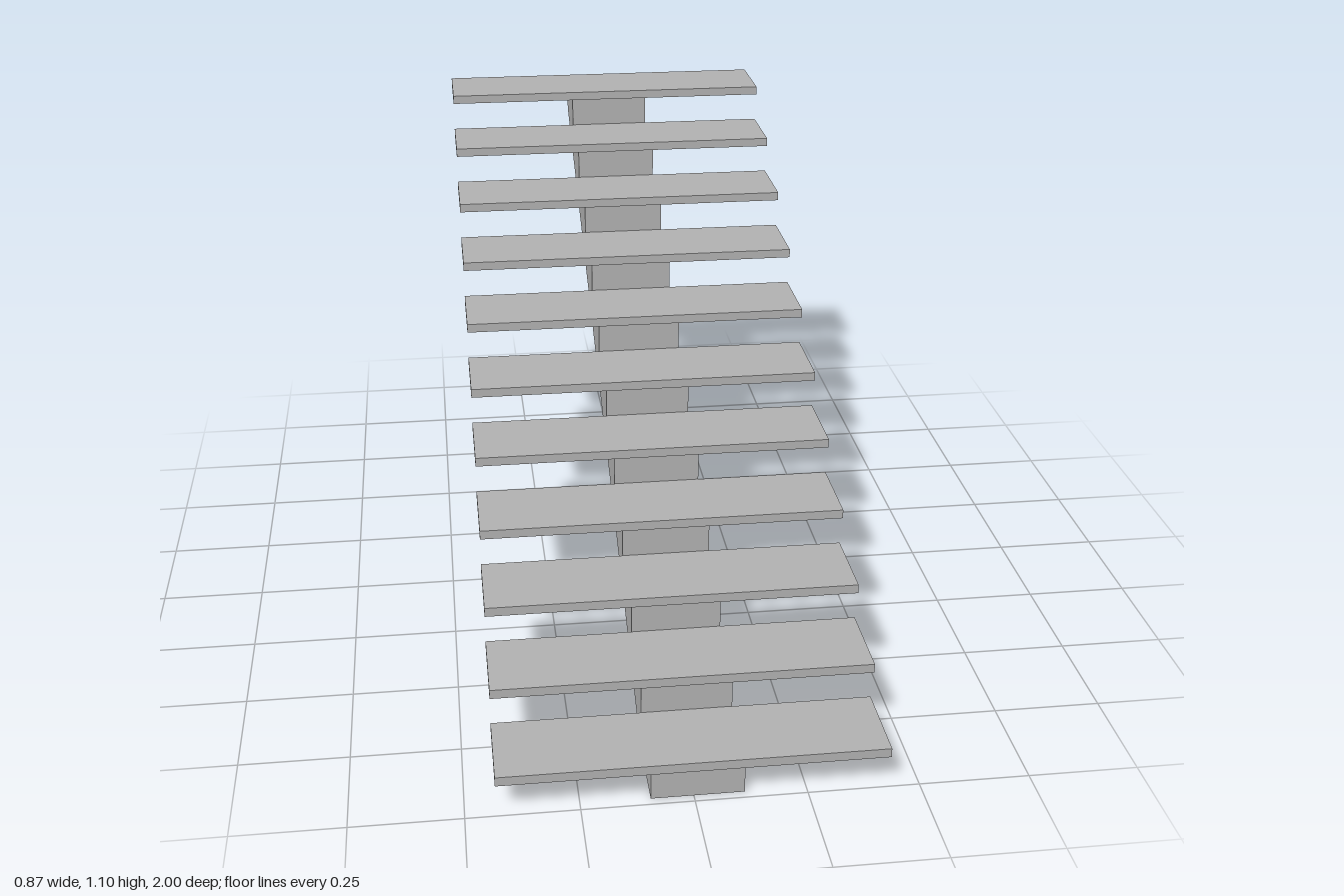
import * as THREE from 'three';

const STEPS = 11, RISE = 0.1, RUN = 0.18;
const TREAD = { width: 0.866, thickness: 0.022, depth: 0.2 };
const SPINE = { left: 0.113, right: -0.095 };

export function createModel() {
  const grey = new THREE.MeshStandardMaterial({ color: 0xb0b0b0 });
  grey.name = 'concrete grey';
  const group = new THREE.Group();
  group.name = 'staircase';

  // Treads: equal slabs climbing towards the back
  const treadGeometry = new THREE.BoxGeometry(TREAD.width, TREAD.thickness, TREAD.depth);
  for (let i = 0; i < STEPS; i++) {
    const tread = new THREE.Mesh(treadGeometry, grey);
    tread.name = `tread${i + 1}`;
    tread.position.set(0, RISE * (i + 1) - TREAD.thickness / 2, 1 - TREAD.depth / 2 - RUN * i);
    group.add(tread);
  }

  // Central spine: sawtooth side profile (z, y) with a straight sloping underside
  const profile = new THREE.Shape();
  profile.moveTo(0.8, 0);
  profile.lineTo(0.98, 0);
  for (let i = 0; i < STEPS; i++) {
    const y = RISE * (i + 1) - TREAD.thickness;
    profile.lineTo(0.98 - RUN * i, y);
    profile.lineTo(0.98 - RUN * (i + 1), y);
  }
  profile.lineTo(-1, 1);
  profile.closePath();
  const spineGeometry = new THREE.ExtrudeGeometry(profile, {
    depth: SPINE.left - SPINE.right, bevelEnabled: false,
  });
  spineGeometry.rotateY(-Math.PI / 2).translate(SPINE.left, 0, 0);
  const spine = new THREE.Mesh(spineGeometry, grey);
  spine.name = 'centralSpine';
  group.add(spine);

  return group;
}
